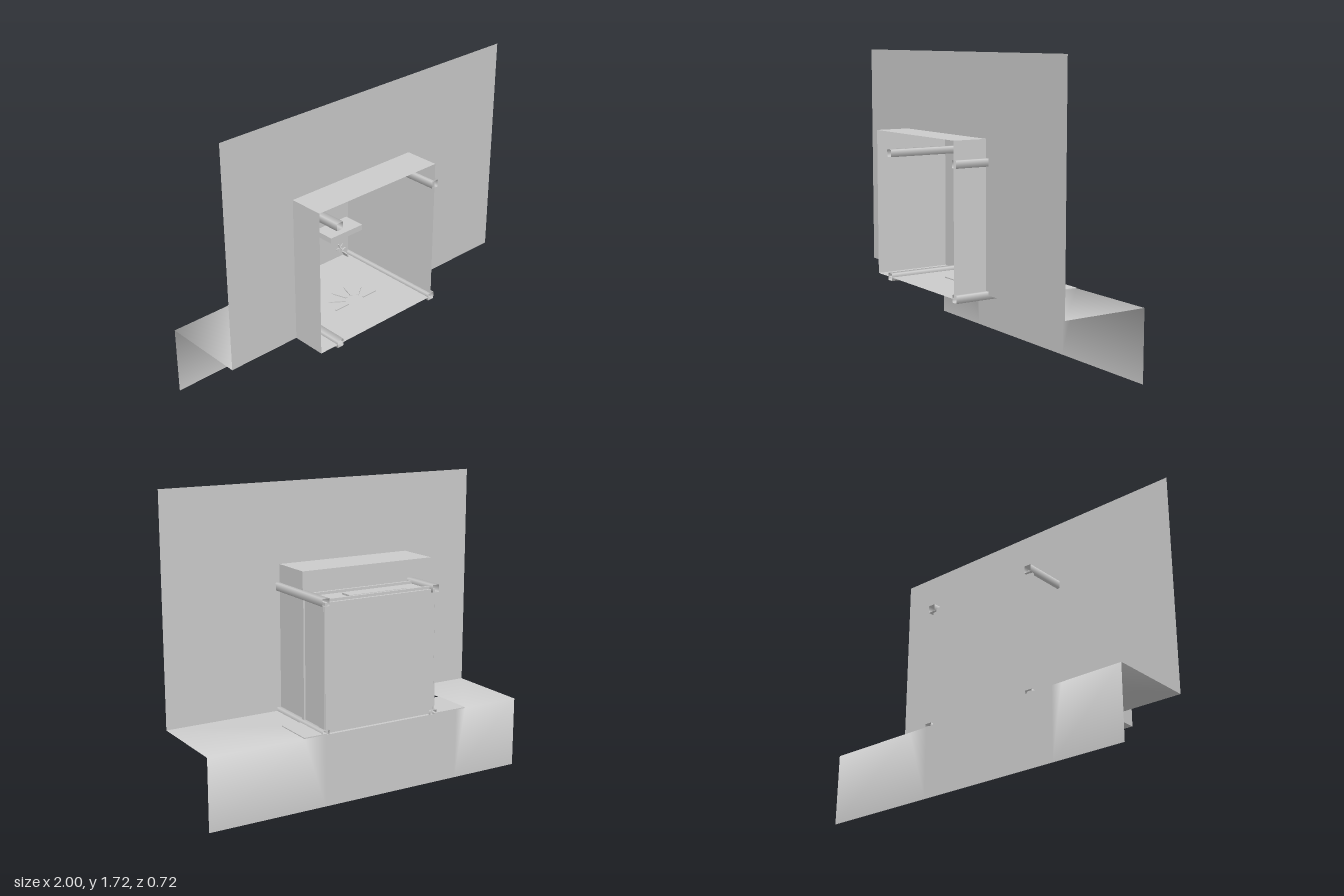
import * as THREE from 'three';

export function createModel() {
  const model = new THREE.Group();
  const grey = new THREE.MeshStandardMaterial({ color: 0xcccccc, side: THREE.DoubleSide });
  grey.name = 'plain grey';

  const add = (name, geo, x = 0, y = 0, z = 0, parent = model) => {
    const m = new THREE.Mesh(geo, grey);
    m.name = name;
    m.position.set(x, y, z);
    parent.add(m);
    return m;
  };
  // box given by its minimum and maximum on each axis
  const span = (name, x0, x1, y0, y1, z0, z1) =>
    add(name, new THREE.BoxGeometry(x1 - x0, y1 - y0, z1 - z0), (x0 + x1) / 2, (y0 + y1) / 2, (z0 + z1) / 2);
  const polygon = pts => new THREE.Shape(pts.map(p => new THREE.Vector2(...p)));
  const sheet = (name, pts, z) => add(name, new THREE.ShapeGeometry(polygon(pts)), 0, 0, z);
  // open sleeve along z: four sheets around a rectangle
  const sleeve = (name, x0, x1, y0, y1, z0, z1) => {
    const g = new THREE.Group();
    g.name = name;
    model.add(g);
    const w = x1 - x0, h = y1 - y0, d = z1 - z0, cx = (x0 + x1) / 2, cy = (y0 + y1) / 2, cz = (z0 + z1) / 2;
    add(name + 'Top', new THREE.PlaneGeometry(w, d).rotateX(-Math.PI / 2), cx, y1, cz, g);
    add(name + 'Bottom', new THREE.PlaneGeometry(w, d).rotateX(Math.PI / 2), cx, y0, cz, g);
    add(name + 'Left', new THREE.PlaneGeometry(d, h).rotateY(Math.PI / 2), x1, cy, cz, g);
    add(name + 'Right', new THREE.PlaneGeometry(d, h).rotateY(-Math.PI / 2), x0, cy, cz, g);
  };

  // large facade, notched around the deep frame
  const L = -0.556, R = 0.29, T = 1.26, B = 0.41;
  sheet('facade', [[-1, B], [L, B], [L, T], [R, T], [R, B], [1, B], [1, 1.72], [-1, 1.72]], 0.155);

  // ground ledges that share smooth normals with the hanging skirt
  const v = [
    -1, B, -0.36, -0.635, B, -0.36, 0.43, B, -0.36, 1, B, -0.36,
    -1, 0, -0.36, -0.57, 0, -0.36, 0.3, 0, -0.36, 1, 0, -0.36,
    -1, B, 0.155, -0.635, B, 0.155,
    1, B, 0.155, 0.31, B, 0.155, 0.31, B, -0.11, 0.43, B, -0.11,
    -0.57, B, -0.36, 0.3, B, -0.36];
  const ground = new THREE.BufferGeometry();
  ground.setAttribute('position', new THREE.Float32BufferAttribute(v, 3));
  ground.setIndex([
    8, 9, 1, 8, 1, 0, 10, 3, 2, 10, 2, 13, 10, 13, 12, 10, 12, 11,
    0, 1, 5, 0, 5, 4, 1, 14, 5, 14, 15, 6, 14, 6, 5, 15, 2, 6, 2, 3, 7, 2, 7, 6]);
  ground.computeVertexNormals();
  add('groundAndSkirt', ground);

  // deep window frame and its back panel around the room opening
  const rl = -0.42, rr = 0.29, rt = 1.13;
  sleeve('frame', L, R, B, T, -0.105, 0.36);
  sheet('frameBack', [[L, B], [rl, B], [rl, rt], [rr, rt], [rr, T], [L, T]], -0.105);

  // room behind the frame
  sleeve('room', rl, rr, B, rt, -0.34, -0.105);
  sheet('roomBack', [[rl, B], [rr, B], [rr, rt], [rl, rt]], -0.34);
  span('roofPlate', -0.27, 0.1, rt, 1.14, -0.28, -0.2);
  span('roofRailBack', -0.4, 0.27, rt, 1.145, -0.325, -0.31);
  span('roofRailFront', -0.4, 0.27, rt, 1.145, -0.15, -0.135);

  // base plates under the room
  span('basePlateRight', -0.635, rl, 0.395, 0.415, -0.357, -0.11);
  span('basePlateLeft', rr, 0.43, 0.395, 0.415, -0.357, -0.11);
  span('basePlateMiddle', rl, rr, 0.385, 0.405, -0.357, -0.11);

  // square open beams along the depth, softly shaded
  for (const x of [-0.415, 0.294]) for (const y of [0.41, 1.135]) {
    const tube = new THREE.CylinderGeometry(0.03, 0.03, 0.715, 4, 1, true).rotateY(Math.PI / 4).rotateX(Math.PI / 2);
    add('beam', tube, x, y, 0.002);
  }
  // thin upright posts
  span('postRear', -0.434, -0.424, 0.43, 1.115, -0.335, -0.325);
  span('postFrontLeft', 0.292, 0.302, 0.43, 1.115, -0.13, -0.105);
  span('postRearLeft', 0.292, 0.296, 0.43, 1.115, -0.337, -0.28);

  // beaded trim along the side and top of the opening
  for (let i = 0; i < 30; i++) {
    const s = i % 2 ? 0.006 : -0.006;
    add('sideTrim', new THREE.BoxGeometry(0.014, 0.016, 0.02), -0.41, 0.44 + i * 0.023, -0.1 + s);
    add('topTrim', new THREE.BoxGeometry(0.016, 0.008, 0.02), -0.39 + i * 0.022, 1.122, -0.1 + s);
  }

  // half-round grille lying on the frame floor
  const fan = new THREE.Group();
  fan.name = 'floorGrille';
  fan.position.set(-0.06, 0.414, 0.1);
  model.add(fan);
  for (const r of [0.16, 0.06])
    add('grilleArc', new THREE.RingGeometry(r - 0.014, r, 24, 1, 0, Math.PI).rotateX(-Math.PI / 2), 0, 0, 0, fan);
  for (let i = 0; i < 6; i++) {
    const a = i * Math.PI / 5, bar = add('grilleBar', new THREE.BoxGeometry(0.1, 0.006, 0.012),
      0.106 * Math.cos(a), 0, -0.106 * Math.sin(a), fan);
    bar.rotation.y = a;
  }

  // furniture stands on the room's back panel and rises toward the front
  span('partitionRight', rl, -0.165, 0.63, 0.665, -0.34, -0.2);
  span('partitionLeft', 0.025, 0.275, 0.63, 0.665, -0.34, -0.2);
  span('counter', 0.055, 0.22, 0.91, 0.975, -0.34, -0.26);
  for (let i = 0; i < 3; i++) add('counterKnob', new THREE.SphereGeometry(0.01, 12, 8), 0.09 + i * 0.048, 0.942, -0.255);
  add('dome', new THREE.SphereGeometry(0.055, 24, 16), -0.36, 1.025, -0.28);
  span('sideDesk', -0.415, -0.29, 0.84, 0.96, -0.275, -0.265);
  span('sideDeskLeg', -0.41, -0.4, 0.84, 0.96, -0.34, -0.27);
  span('sideScreen', -0.4, -0.365, 0.885, 0.935, -0.265, -0.22);
  span('sideSeat', -0.28, -0.225, 0.86, 0.945, -0.34, -0.29);
  span('sideShelf', -0.415, -0.3, 0.81, 0.83, -0.34, -0.24);
  span('topShelf', -0.28, 0, 1.07, 1.11, -0.275, -0.265);
  for (let i = 0; i < 4; i++) span('shelfItem', -0.27 + i * 0.07, -0.24 + i * 0.07, 1.08, 1.105, -0.34, -0.25);
  span('cornerCabinet', 0.235, 0.285, 1.07, 1.12, -0.34, -0.24);
  add('leaningPlank', new THREE.BoxGeometry(0.15, 0.012, 0.06), -0.335, 0.565, -0.3).rotation.z = 0.45;
  add('roundTable', new THREE.CylinderGeometry(0.035, 0.035, 0.01, 24).rotateX(Math.PI / 2), -0.37, 0.46, -0.27);
  add('tableStem', new THREE.CylinderGeometry(0.008, 0.008, 0.07, 10).rotateX(Math.PI / 2), -0.37, 0.46, -0.305);

  // swivel chairs with five feet
  for (const [x, y, turn] of [[-0.095, 1.035, 0], [-0.31, 0.475, 1], [0.22, 0.47, 2], [-0.37, 0.6, 3]]) {
    const chair = new THREE.Group();
    chair.name = 'chair';
    chair.position.set(x, y, -0.34);
    chair.rotation.z = turn;
    model.add(chair);
    add('seat', new THREE.CylinderGeometry(0.02, 0.02, 0.01, 14).rotateX(Math.PI / 2), 0, 0, 0.045, chair);
    add('stem', new THREE.CylinderGeometry(0.004, 0.004, 0.04, 8).rotateX(Math.PI / 2), 0, 0, 0.022, chair);
    add('backrest', new THREE.BoxGeometry(0.03, 0.006, 0.04), 0, 0.02, 0.07, chair);
    for (let i = 0; i < 5; i++) {
      const a = i * Math.PI * 0.4;
      add('foot', new THREE.BoxGeometry(0.03, 0.006, 0.006), 0.016 * Math.cos(a), 0.016 * Math.sin(a), 0.004, chair).rotation.z = a;
    }
  }
  return model;
}
